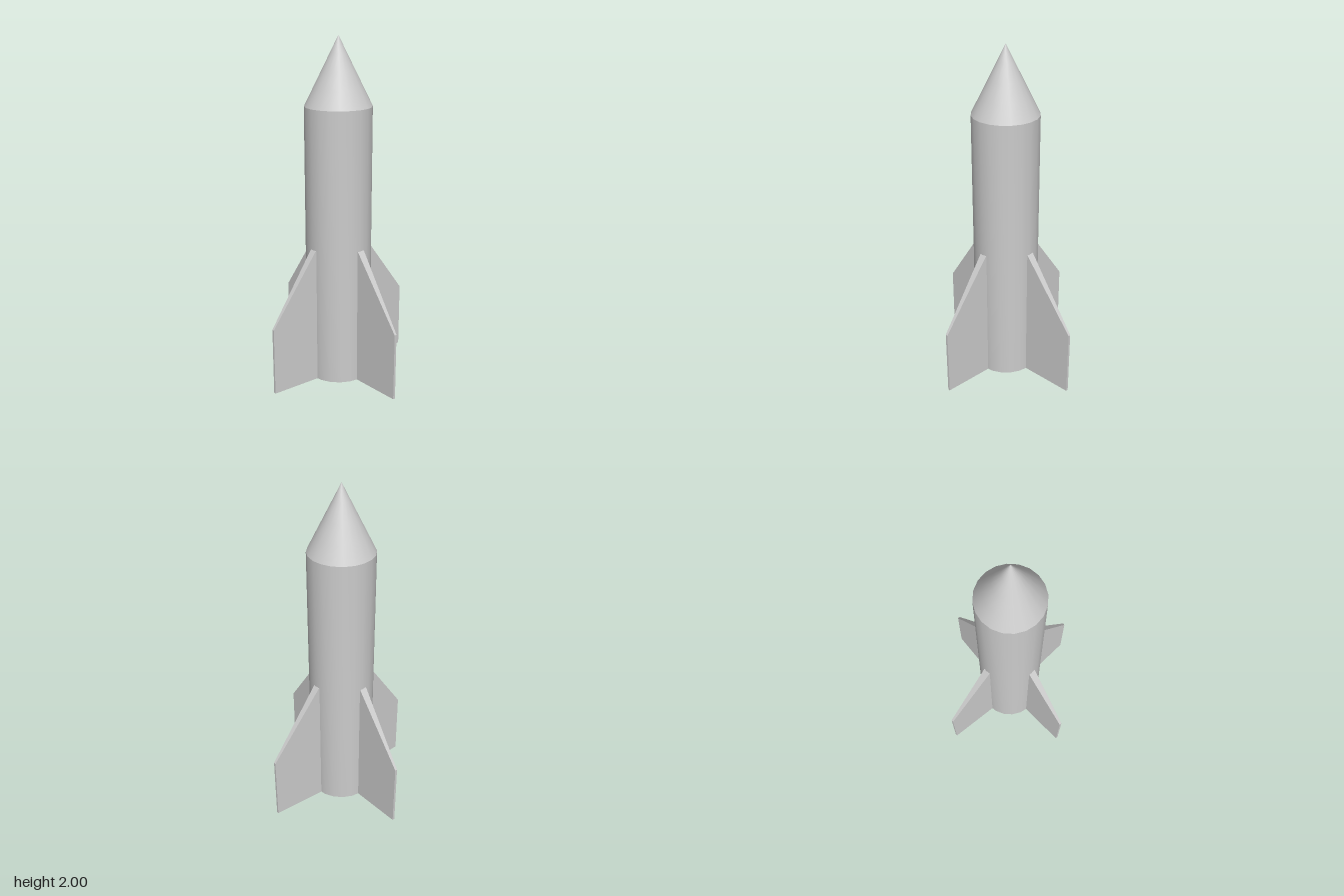
import * as THREE from 'three';
import { toCreasedNormals } from 'three/addons/utils/BufferGeometryUtils.js';

const SIDES = 20;
const RADIUS = 0.192;
const SHOULDER = 1.615;
const material = new THREE.MeshStandardMaterial({ color: 0xcccccc });

function addMesh(parent, name, geometry) {
  const mesh = new THREE.Mesh(geometry, material);
  mesh.name = name;
  parent.add(mesh);
  return mesh;
}

// Swept plate along +x, thick at the hull and thin at the outer edge
function finGeometry(span) {
  const root = 0.175;
  const outline = new THREE.Shape([
    [root, 0], [span, 0], [span, 0.4], [RADIUS, 0.81], [root, 0.81],
  ].map(([x, y]) => new THREE.Vector2(x, y)));
  const geometry = new THREE.ExtrudeGeometry(outline, { depth: 1, bevelEnabled: false });
  const pos = geometry.attributes.position;
  for (let i = 0; i < pos.count; i++) {
    const t = (pos.getX(i) - root) / (span - root);
    pos.setZ(i, (pos.getZ(i) - 0.5) * THREE.MathUtils.lerp(0.046, 0.014, t));
  }
  geometry.computeVertexNormals();
  return geometry;
}

export function createModel() {
  const rocket = new THREE.Group();
  rocket.name = 'rocket';
  rocket.position.set(0.002, 0, 0.013);

  // Hull with a stepped engine recess in its underside
  const profile = [
    [0, 0.1], [0.05, 0.1], [0.05, 0.05], [0.105, 0.05],
    [0.105, 0], [RADIUS, 0], [RADIUS, SHOULDER],
  ].map(([x, y]) => new THREE.Vector2(x, y));
  addMesh(rocket, 'hull', toCreasedNormals(new THREE.LatheGeometry(profile, SIDES), 0.6));

  // Pointed nose
  const noseHeight = 2 - SHOULDER;
  const nose = addMesh(rocket, 'noseCone',
    new THREE.ConeGeometry(RADIUS, noseHeight, SIDES, 4, true));
  nose.position.y = SHOULDER + noseHeight / 2;

  // Four fins, each set slightly off the hull's centre line
  const fins = [['leftFin', 0.49], ['backFin', 0.51], ['rightFin', 0.499], ['frontFin', 0.482]];
  fins.forEach(([name, span], i) => {
    const mount = new THREE.Group();
    mount.name = name;
    mount.rotation.y = i * Math.PI / 2;
    addMesh(mount, name + 'Plate', finGeometry(span)).position.z = -0.0075;
    rocket.add(mount);
  });

  const model = new THREE.Group();
  model.add(rocket);
  return model;
}
